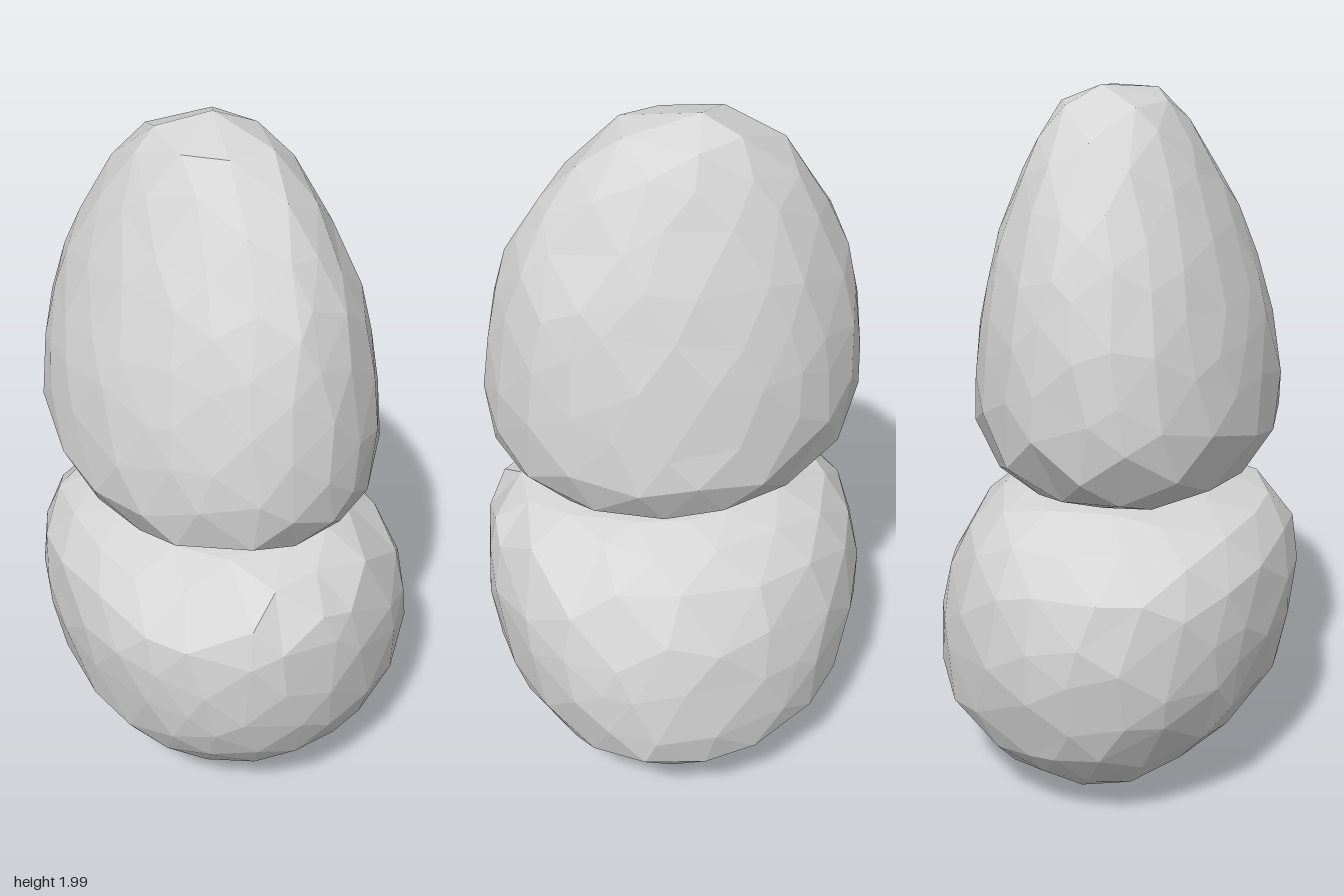
import * as THREE from 'three';
import { mergeVertices } from 'three/addons/utils/BufferGeometryUtils.js';

const stone = new THREE.MeshStandardMaterial({ color: 0xd6d6d6, flatShading: true });
stone.name = 'pale grey stone';

// Rows run from top to bottom: [y, xMin, xMax, zMin, zMax]
const UPPER = [
  [2.0, 0, 0, -0.05, -0.05],
  [1.97, -0.13, 0.11, -0.18, 0.15],
  [1.9, -0.19, 0.16, -0.28, 0.23],
  [1.8, -0.25, 0.21, -0.36, 0.32],
  [1.6, -0.35, 0.29, -0.46, 0.44],
  [1.4, -0.415, 0.335, -0.51, 0.49],
  [1.2, -0.45, 0.36, -0.52, 0.51],
  [1.1, -0.45, 0.37, -0.51, 0.5],
  [1.02, -0.43, 0.34, -0.47, 0.48],
  [0.95, -0.36, 0.28, -0.36, 0.38],
  [0.93, -0.27, 0.23, -0.28, 0.27],
  [0.93, -0.03, -0.03, 0, 0],
];
const LOWER = [
  [0.9, -0.03, -0.03, 0, 0],
  [0.9, -0.26, 0.2, -0.24, 0.24],
  [0.88, -0.38, 0.28, -0.37, 0.37],
  [0.81, -0.46, 0.37, -0.47, 0.49],
  [0.72, -0.5, 0.44, -0.52, 0.525],
  [0.6, -0.505, 0.48, -0.54, 0.54],
  [0.45, -0.49, 0.505, -0.535, 0.53],
  [0.36, -0.47, 0.505, -0.51, 0.51],
  [0.27, -0.42, 0.5, -0.48, 0.47],
  [0.2, -0.36, 0.44, -0.43, 0.42],
  [0.1, -0.25, 0.33, -0.34, 0.3],
  [0.03, -0.1, 0.22, -0.2, 0.15],
  [0, 0.02, 0.02, -0.03, -0.03],
];

function seeded(seed) {
  return () => {
    seed = (seed * 16807) % 2147483647;
    return seed / 2147483647 - 0.5;
  };
}

// Egg-shaped reach between two limits, with the widest line moved off centre by skew
function egg(min, max, skew, c) {
  const half = (max - min) / 2;
  const reach = c > 0 ? 1 - skew : 1 + skew;
  return (min + max) / 2 + half * (skew + c * reach * 1.01);
}

// Faceted boulder: an icosphere wrapped onto a stack of egg-shaped sections
function boulder(name, rows, skewX, skewZ, seed) {
  const random = seeded(seed);
  const reach = (r) => (r[2] - r[1] + r[4] - r[3]) / 4;
  const length = [0];
  for (let i = 1; i < rows.length; i++) {
    const step = Math.hypot(rows[i][0] - rows[i - 1][0], reach(rows[i]) - reach(rows[i - 1]));
    length.push(length[i - 1] + step);
  }
  const total = length[length.length - 1];

  const sphere = new THREE.IcosahedronGeometry(1, 3);
  sphere.deleteAttribute('normal');
  sphere.deleteAttribute('uv');
  const geometry = mergeVertices(sphere, 1e-4);
  const p = geometry.attributes.position;
  const v = new THREE.Vector3();
  for (let i = 0; i < p.count; i++) {
    // Small shifts along the surface make the facets irregular
    v.fromBufferAttribute(p, i);
    v.x += random() * 0.13;
    v.y += random() * 0.13;
    v.z += random() * 0.13;
    v.normalize();
    const s = (Math.acos(v.y) / Math.PI) * total;
    let k = 1;
    while (k < rows.length - 1 && length[k] < s) k++;
    const t = (s - length[k - 1]) / (length[k] - length[k - 1]);
    const [y, x0, x1, z0, z1] = rows[k].map((b, j) => THREE.MathUtils.lerp(rows[k - 1][j], b, t));
    const a = Math.atan2(v.z, v.x);
    p.setXYZ(i, egg(x0, x1, skewX, Math.cos(a)), y, egg(z0, z1, skewZ, Math.sin(a)));
  }
  const faceted = geometry.toNonIndexed();
  faceted.computeVertexNormals();
  const mesh = new THREE.Mesh(faceted, stone);
  mesh.name = name;
  return mesh;
}

export function createModel() {
  const group = new THREE.Group();
  group.name = 'stackedBoulders';
  group.add(
    boulder('upperBoulder', UPPER, -0.08, 0.04, 71),
    boulder('lowerBoulder', LOWER, -0.12, 0.15, 293),
  );
  return group;
}
